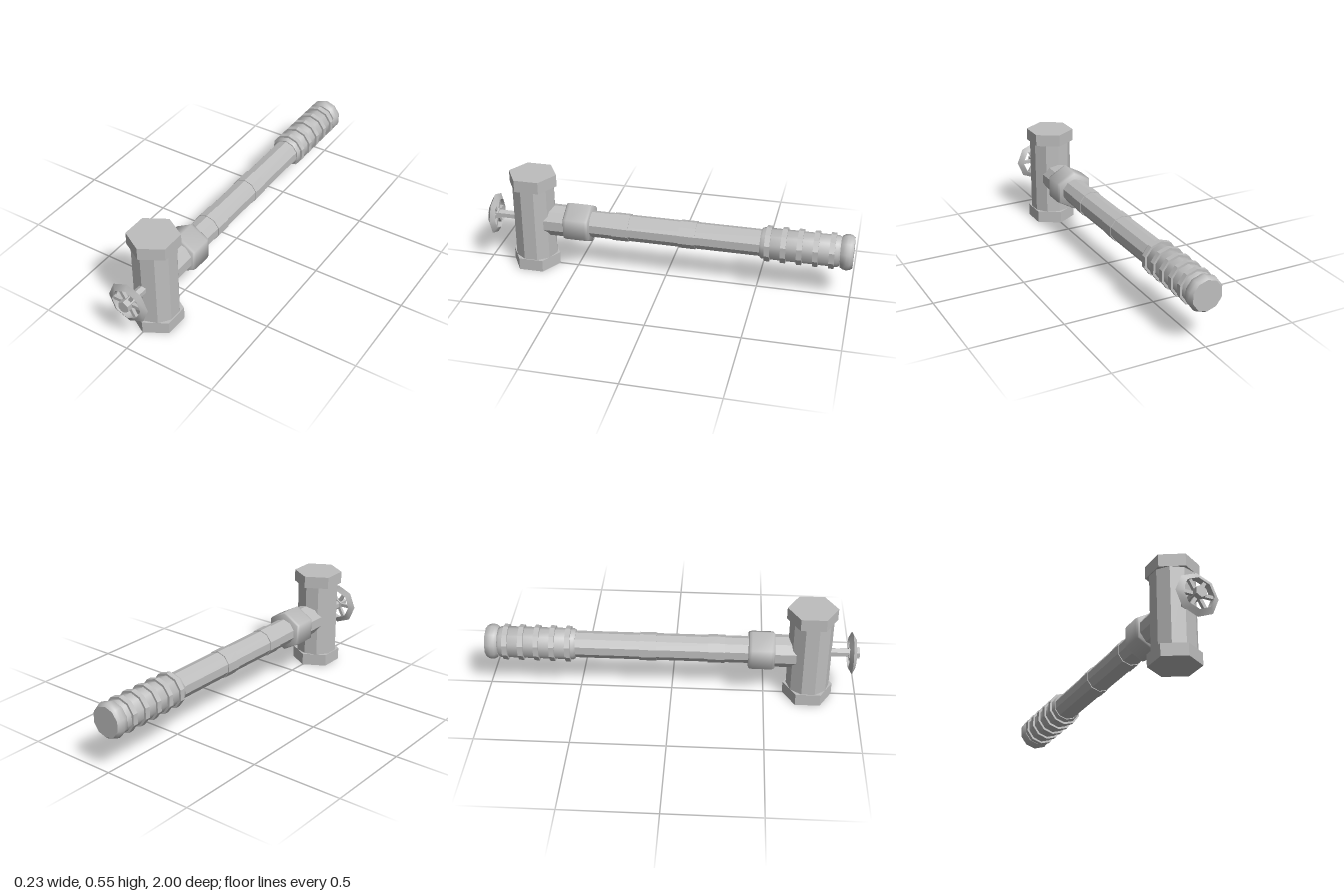
import * as THREE from 'three';
import { toCreasedNormals } from 'three/addons/utils/BufferGeometryUtils.js';

const AXIS_Y = 0.273; // height of the handle axis
const HEAD_Z = 0.737; // centre of the hammer head

export function createModel() {
  const model = new THREE.Group();
  model.name = 'pipeHammer';
  const iron = new THREE.MeshStandardMaterial({ color: 0xbebebe });
  iron.name = 'iron grey';

  function add(name, geometry, parent = model) {
    const mesh = new THREE.Mesh(geometry, iron);
    mesh.name = name;
    parent.add(mesh);
    return mesh;
  }

  // upright faceted prism with a corner facing forward
  function upright(name, radius, sides, y0, y1) {
    const geo = new THREE.CylinderGeometry(radius, radius, y1 - y0, sides);
    add(name, toCreasedNormals(geo, 0.3)).position.set(0, (y0 + y1) / 2, HEAD_Z);
  }

  // faceted solid turned around the handle axis; profile is [radius, z] pairs
  function turned(name, sides, profile, crease = 0.3) {
    const pts = profile.map(([r, z]) => new THREE.Vector2(r, z));
    pts.unshift(new THREE.Vector2(0, pts[0].y));
    pts.push(new THREE.Vector2(0, pts[pts.length - 1].y));
    const geo = new THREE.LatheGeometry(pts, sides).rotateX(Math.PI / 2);
    add(name, toCreasedNormals(geo, crease)).position.y = AXIS_Y;
  }
  const band = (name, sides, r, z0, z1) => turned(name, sides, [[r, z0], [r, z1]]);

  // head
  upright('headBarrel', 0.116, 10, 0.066, 0.479);
  upright('lowerHeadCap', 0.133, 6, 0, 0.067);
  upright('upperHeadCap', 0.133, 6, 0.478, 0.545);

  // handle
  band('neck', 10, 0.087, 0.53, 0.70);
  turned('collar', 6, [[0.104, 0.41], [0.110, 0.416], [0.113, 0.43],
    [0.113, 0.53], [0.110, 0.544], [0.104, 0.55]], 1.2);
  band('handleShaft', 10, 0.072, -0.53, 0.42);
  band('rearShaftBand', 10, 0.076, -0.17, -0.08);
  band('frontShaftBand', 10, 0.076, 0.195, 0.285);

  // grip with raised rings and a rounded, flat-ended pommel
  turned('grip', 10, [[0.077, -0.932], [0.084, -0.92], [0.084, -0.527], [0.077, -0.515]], 0.9);
  for (let i = 0; i < 5; i++) {
    const z = -0.555 - i * 0.084;
    band('gripRing', 10, 0.096, z - 0.014, z + 0.014);
  }
  turned('pommel', 10, [[0.082, -1], [0.092, -0.986], [0.096, -0.967],
    [0.092, -0.948], [0.082, -0.934]], 0.9);

  // valve wheel on the front of the head
  band('valveStem', 6, 0.024, 0.80, 0.95);
  band('valveHub', 6, 0.032, 0.942, 1);
  const wheel = new THREE.Group();
  wheel.name = 'valveWheel';
  wheel.position.set(0, AXIS_Y, 0.96);
  model.add(wheel);
  add('wheelRim', toCreasedNormals(new THREE.TorusGeometry(0.0947, 0.0213, 3, 8), 0.9), wheel);
  for (let i = 0; i < 6; i++) {
    const a = i * Math.PI / 3;
    const spoke = add('wheelSpoke', new THREE.BoxGeometry(0.07, 0.018, 0.018), wheel);
    spoke.position.set(Math.cos(a) * 0.055, Math.sin(a) * 0.055, 0);
    spoke.rotation.z = a;
  }
  return model;
}
